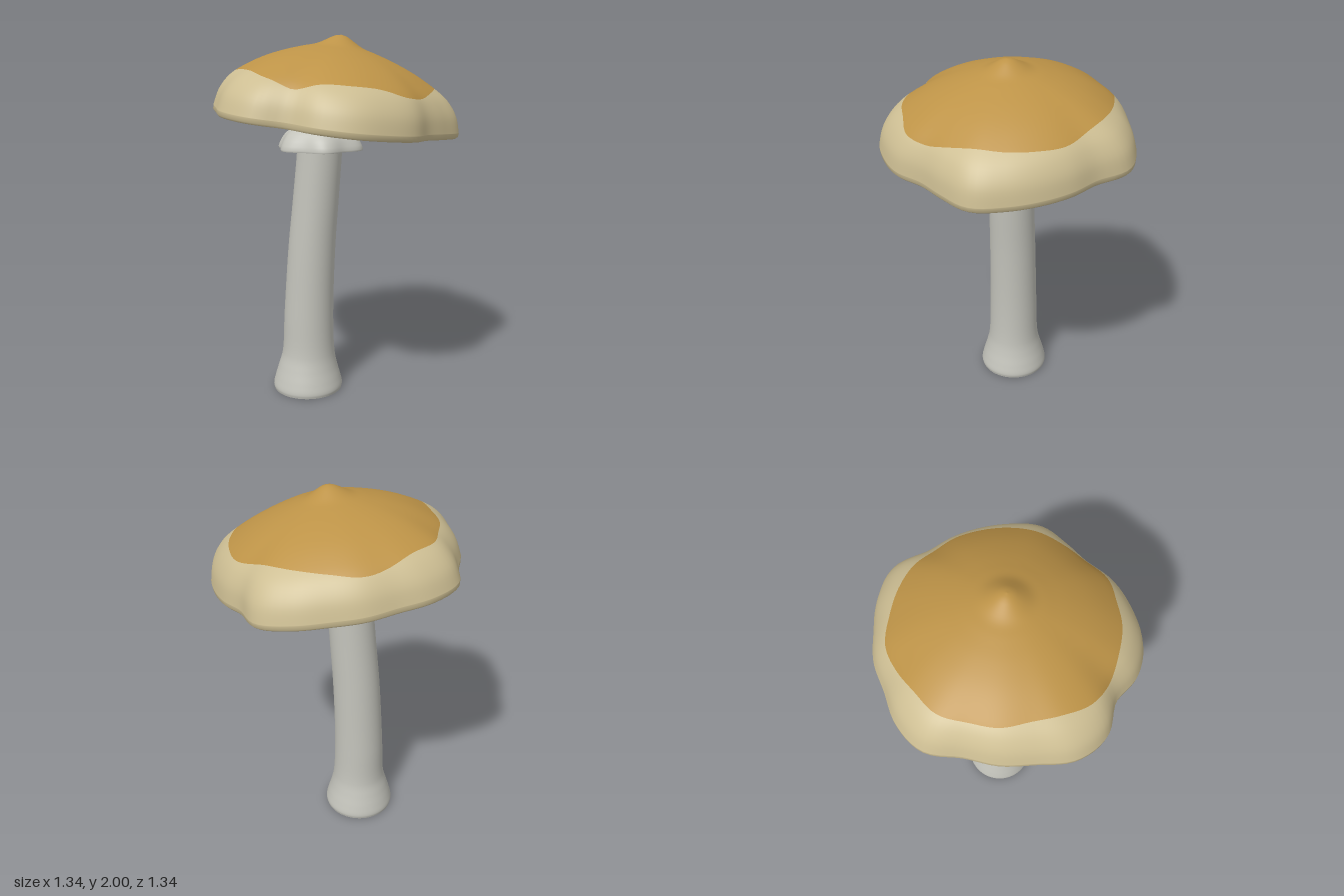
import * as THREE from 'three';

const SIDES = 120;

// Joins rings (functions of angle giving [x, y, z]), listed from the top down, into a smooth skin
function loft(rings) {
  const pos = [], idx = [];
  for (const ring of rings)
    for (let i = 0; i < SIDES; i++) pos.push(...ring((i / SIDES) * Math.PI * 2));
  for (let k = 0; k < rings.length - 1; k++)
    for (let i = 0; i < SIDES; i++) {
      const j = (i + 1) % SIDES, a = k * SIDES, b = a + SIDES;
      idx.push(a + i, a + j, b + i, a + j, b + j, b + i);
    }
  const g = new THREE.BufferGeometry();
  g.setAttribute('position', new THREE.Float32BufferAttribute(pos, 3));
  g.setIndex(idx);
  g.computeVertexNormals();
  return g;
}

// Smooth periodic lookup in a table of evenly spaced radii
function around(table, angle) {
  const n = table.length, t = (angle / (Math.PI * 2)) * n, i = Math.floor(t), f = t - i;
  const [a, b, c, d] = [-1, 0, 1, 2].map((o) => table[(i + o + n) % n]);
  return b + 0.5 * f * (c - a + f * (2 * a - 5 * b + 4 * c - d + f * (3 * (b - c) + d - a)));
}

// Radii every 15 degrees, from +x towards +z
const RIM = [0.69, 0.636, 0.607, 0.648, 0.667, 0.684, 0.667, 0.617, 0.685, 0.692, 0.645, 0.635,
  0.627, 0.68, 0.664, 0.625, 0.632, 0.634, 0.665, 0.684, 0.62, 0.63, 0.645, 0.668];
const PATCH = [0.527, 0.527, 0.54, 0.563, 0.54, 0.545, 0.545, 0.56, 0.566, 0.54, 0.522, 0.535,
  0.535, 0.56, 0.545, 0.55, 0.56, 0.535, 0.525, 0.52, 0.513, 0.532, 0.53, 0.53];
const MEAN = 0.65;

// Rim lobes, bunched slightly towards +x, fade out towards the middle of the cap
const lobed = (f, a) => MEAN + (around(RIM, a + 0.03 * Math.sin(a)) - MEAN) * f * f;

// Dome height against the fraction of the rim radius
const dome = new THREE.SplineCurve([
  [0, 0.463], [0.05, 0.456], [0.1, 0.438], [0.19, 0.406], [0.3, 0.385], [0.45, 0.353], [0.6, 0.312],
  [0.73, 0.266], [0.85, 0.213], [0.92, 0.164], [0.97, 0.105], [1, 0.03],
].map(([x, y]) => new THREE.Vector2(x, y))).getPoints(150);

function domeHeight(f) {
  let i = 1;
  while (i < dome.length - 1 && dome[i].x < f) i++;
  const a = dome[i - 1], b = dome[i];
  return a.y + ((b.y - a.y) * (f - a.x)) / (b.x - a.x);
}

// Fraction of the rim radius at which the ochre patch ends
function patchEdge(a) {
  let f = 0.8;
  for (let i = 0; i < 8; i++) f = around(PATCH, a) / lobed(f, a);
  return f;
}

export function createModel() {
  const mat = (name, color) => {
    const m = new THREE.MeshStandardMaterial({ color });
    m.name = name;
    return m;
  };
  const ochre = mat('ochre', 0xbd9347);
  const cream = mat('cream', 0xcdbe93);
  const grey = mat('paleGrey', 0xc3c3bb);
  const dark = mat('darkGills', 0x463b41);

  const model = new THREE.Group();
  const add = (parent, name, geometry, material) => {
    const mesh = new THREE.Mesh(geometry, material);
    mesh.name = name;
    parent.add(mesh);
  };

  // Tilted cap
  const cap = new THREE.Group();
  cap.name = 'cap';
  cap.position.set(-0.02, 1.54, 0);
  cap.rotation.z = -0.12;
  model.add(cap);

  const capRing = (fraction, height) => (a) => {
    const f = fraction(a), r = f * lobed(f, a);
    return [r * Math.cos(a), height ?? domeHeight(f), r * Math.sin(a)];
  };
  const inner = 32, outer = 14, rings = [];
  for (let k = 0; k <= inner; k++)
    rings.push(capRing((a) => Math.max(0.0005, (k / inner) * patchEdge(a))));
  for (let k = 1; k <= outer; k++) {
    const t = 1 - (1 - k / outer) ** 2;
    rings.push(capRing((a) => THREE.MathUtils.lerp(patchEdge(a), 1, t)));
  }
  rings.push(capRing(() => 0.998, 0.01), capRing(() => 0.985, 0));
  const skin = loft(rings);
  const split = inner * SIDES * 6;
  skin.addGroup(0, split, 0);
  skin.addGroup(split, skin.index.count - split, 1);
  add(cap, 'capSkin', skin, [ochre, cream]);

  // Hollow underside of the cap
  add(cap, 'gills', loft([
    [0.985, 0], [0.85, 0.036], [0.7, 0.072], [0.5, 0.114], [0.3, 0.15], [0.15, 0.168], [0.0005, 0.174],
  ].map(([f, y]) => capRing(() => f, y))), dark);

  // Leaning stem with a flared foot: centre x, height, radius
  const stemRing = (x, y, r) => (a) => [x + r * Math.cos(a), y, 0.015 + r * Math.sin(a)];
  const stemLine = new THREE.CatmullRomCurve3([
    [-0.066, 1.74, 0.117], [-0.073, 1.57, 0.119], [-0.08, 1.4, 0.123], [-0.102, 1.13, 0.127],
    [-0.127, 0.84, 0.132], [-0.147, 0.45, 0.14], [-0.15, 0.22, 0.15], [-0.154, 0.14, 0.168],
    [-0.155, 0.07, 0.188], [-0.155, 0.02, 0.199], [-0.155, 0, 0.195],
  ].map((p) => new THREE.Vector3(...p)));
  add(model, 'stem', loft(stemLine.getPoints(60).map((p) => stemRing(p.x, p.y, p.z))), grey);
  add(model, 'stemBase', loft([stemRing(-0.155, 0, 0.195), stemRing(-0.155, 0, 0.0005)]), grey);

  // Wavy skirt around the neck: radius, height, waviness
  const skirtRing = ([r, y, w]) => (a) => {
    const s = r * (1 + w * Math.sin(6 * a));
    return [-0.077 + s * Math.cos(a), y, 0.016 + s * Math.sin(a)];
  };
  add(model, 'skirt', loft([
    [0.1, 1.512, 0], [0.14, 1.51, 0.01], [0.165, 1.5, 0.03], [0.19, 1.48, 0.04], [0.21, 1.452, 0.055],
    [0.222, 1.425, 0.065], [0.229, 1.405, 0.065], [0.226, 1.396, 0.065],
  ].map(skirtRing)), grey);
  add(model, 'skirtUnderside', loft([
    [0.226, 1.396, 0.065], [0.205, 1.425, 0.05], [0.175, 1.455, 0.03], [0.14, 1.475, 0.01], [0.1, 1.485, 0],
  ].map(skirtRing)), grey);

  return model;
}
